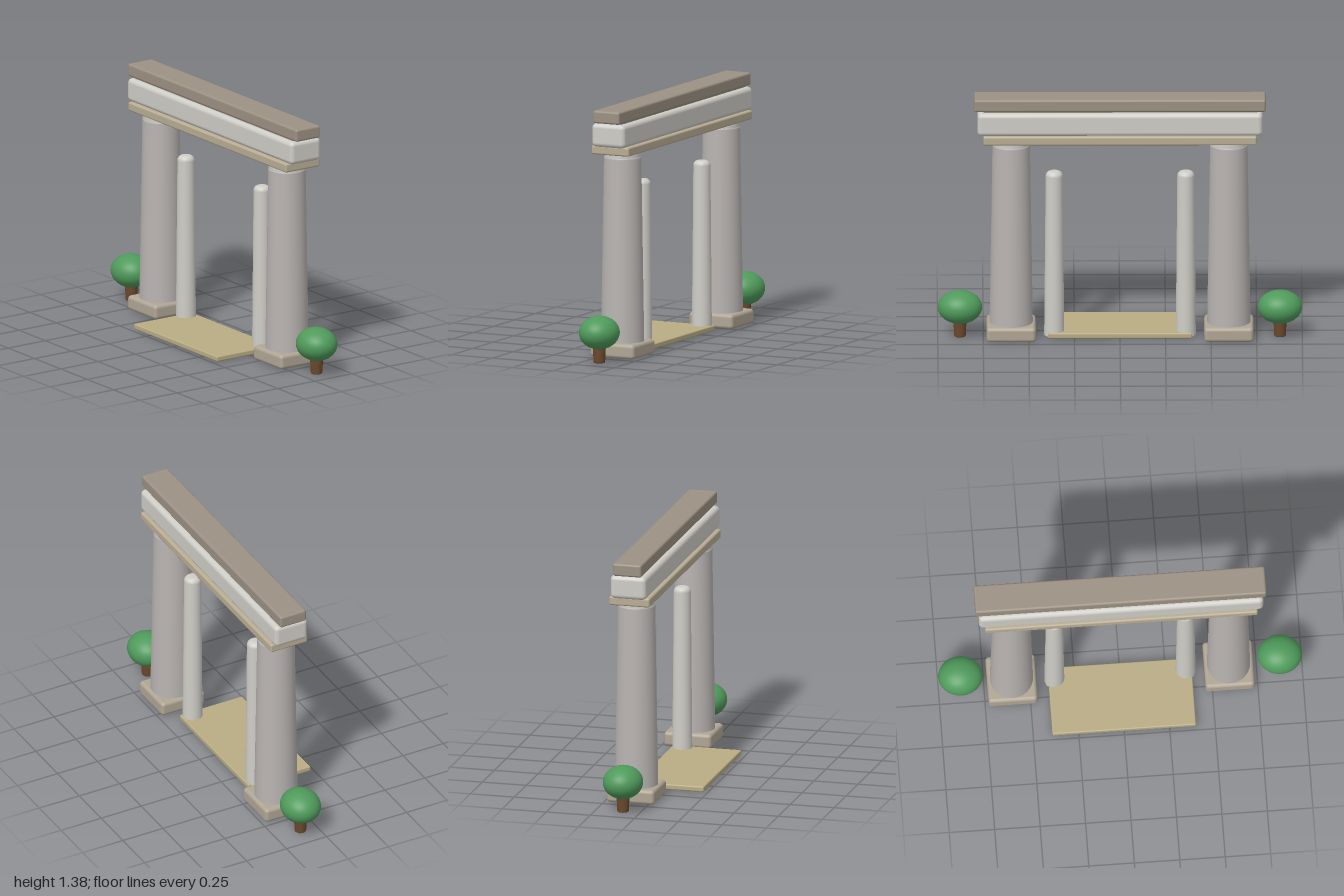
import * as THREE from 'three';
import { RoundedBoxGeometry } from 'three/addons/geometries/RoundedBoxGeometry.js';

const Z = -0.097; // depth of the gateway's centre plane

const paint = (color) => new THREE.MeshStandardMaterial({ color });
const columnStone = paint(0xb9b4b2);
const paleStone = paint(0xcfcdc7);
const baseStone = paint(0xb0a695);
const capStone = paint(0x9c9183);
const sandStone = paint(0xb9ad94);
const paving = paint(0xb9ad85);
const leaf = paint(0x4f9a5b);
const bark = paint(0x6b482c);

function add(parent, name, geometry, material, x, y, z) {
  const mesh = new THREE.Mesh(geometry, material);
  mesh.name = name;
  mesh.position.set(x, y, z);
  parent.add(mesh);
  return mesh;
}

// Rounded block given by its bottom and top heights
function block(parent, name, material, width, y0, y1, depth, radius, x = 0, z = Z) {
  const geometry = new RoundedBoxGeometry(width, y1 - y0, depth, 4, radius);
  return add(parent, name, geometry, material, x, (y0 + y1) / 2, z);
}

// Tapered round shaft with softened rims
function shaft(r0, r1, height, bevel0, bevel1) {
  const points = [new THREE.Vector2(0, 0)];
  for (let i = 0; i <= 6; i++) {
    const a = (i / 6) * Math.PI / 2;
    points.push(new THREE.Vector2(r0 - bevel0 + Math.sin(a) * bevel0, bevel0 - Math.cos(a) * bevel0));
  }
  for (let i = 0; i <= 6; i++) {
    const a = (i / 6) * Math.PI / 2;
    points.push(new THREE.Vector2(r1 - bevel1 + Math.cos(a) * bevel1, height - bevel1 + Math.sin(a) * bevel1));
  }
  points.push(new THREE.Vector2(0, height));
  return new THREE.LatheGeometry(points, 48);
}

export function createModel() {
  const model = new THREE.Group();
  model.name = 'gateway';

  for (const [side, label] of [[1, 'left'], [-1, 'right']]) {
    // Main column on its square base, with a neck under the beam
    const column = new THREE.Group();
    column.name = label + 'Column';
    const cx = side * 0.597;
    block(column, 'base', baseStone, 0.27, 0.003, 0.085, 0.27, 0.02, cx);
    add(column, 'shaft', shaft(0.12, 0.103, 1.11, 0.008, 0.01), columnStone, cx, 0, Z);
    add(column, 'neck', shaft(0.1, 0.1, 0.04, 0.006, 0.006), paleStone, cx, 1.1, Z);
    model.add(column);

    // Slim inner post
    add(model, label + 'Post', shaft(0.055, 0.047, 0.947, 0.008, 0.028), paleStone, side * 0.361, 0.004, Z);

    // Round bush on a short trunk
    const bush = new THREE.Group();
    bush.name = label + 'Bush';
    const bx = side * 0.878;
    add(bush, 'trunk', shaft(0.032, 0.037, 0.12, 0.006, 0.006), bark, bx, 0, Z);
    add(bush, 'foliage', new THREE.SphereGeometry(1, 40, 28), leaf, bx, 0.168, Z).scale.set(0.122, 0.092, 0.11);
    model.add(bush);
  }

  // Three stacked beams
  block(model, 'lowerBeam', sandStone, 1.5, 1.132, 1.182, 0.23, 0.01);
  block(model, 'middleBeam', paleStone, 1.565, 1.178, 1.308, 0.203, 0.025);
  block(model, 'topBeam', capStone, 1.6, 1.313, 1.383, 0.162, 0.012);
  block(model, 'beamJoint', capStone, 1.5, 1.3, 1.32, 0.14, 0.003);

  // Paving slab at the entrance
  block(model, 'pavingSlab', paving, 0.79, 0.004, 0.034, 0.39, 0.007, 0, 0.035);

  return model;
}
